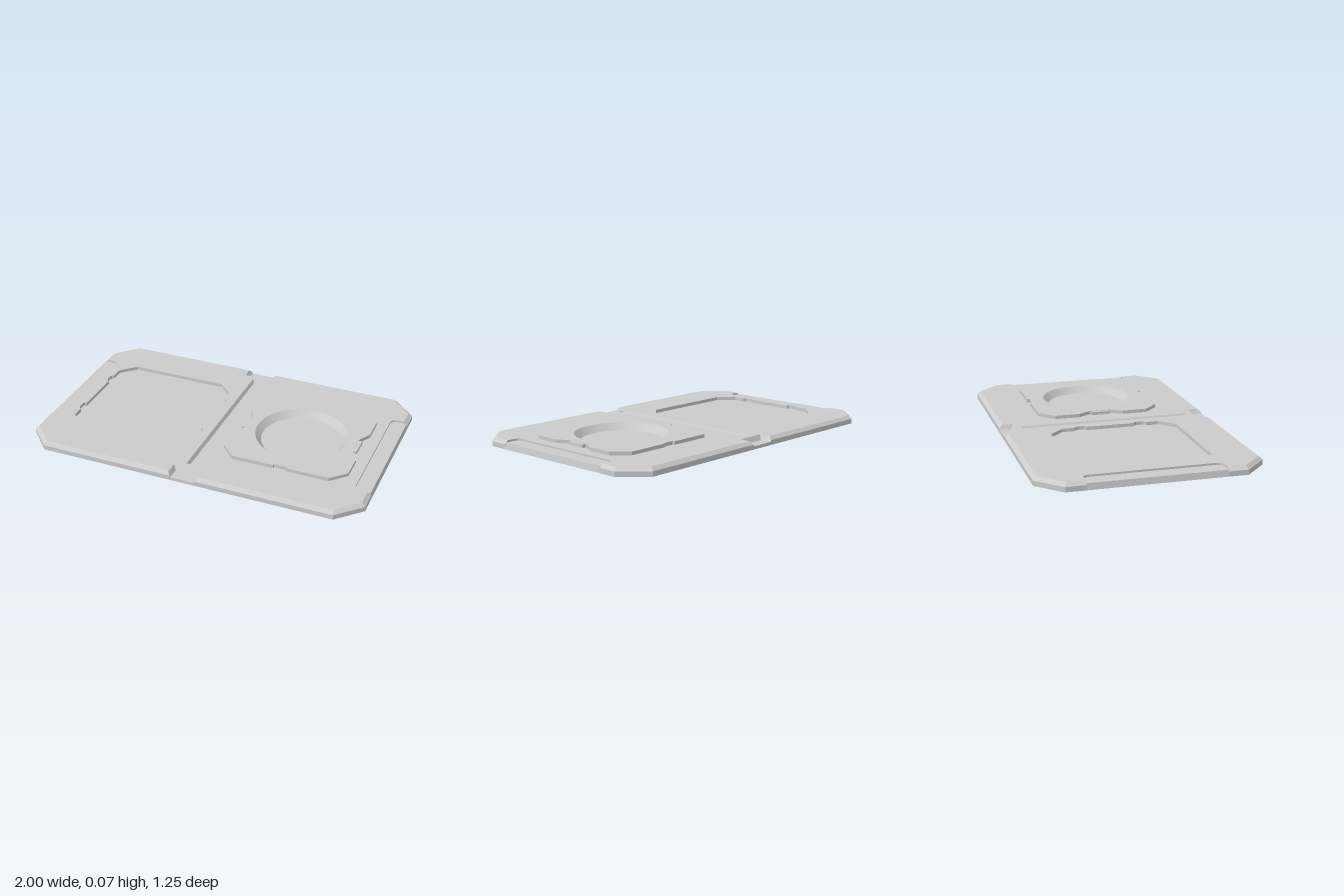
import * as THREE from 'three';

const TOP = 0.047, PLATE = 0.067, FLOOR = 0.027, MID = 0.028, PANEL = 0.036;
const mat = new THREE.MeshStandardMaterial({ color: 0xcccccc, side: THREE.DoubleSide });

function add(parent, name, geometry) {
  const mesh = new THREE.Mesh(geometry, mat);
  mesh.name = name;
  parent.add(mesh);
  return mesh;
}

// Flat faceted skin joining closed loops of [x, y, z] points
function skin(...loops) {
  const out = [];
  for (let k = 0; k + 1 < loops.length; k++) {
    const a = loops[k], b = loops[k + 1], n = a.length;
    for (let i = 0; i < n; i++) {
      const j = (i + 1) % n;
      for (const tri of [[a[i], a[j], b[j]], [a[i], b[j], b[i]]]) {
        const [p, q, r] = tri.map(v => new THREE.Vector3(...v));
        if (q.clone().sub(p).cross(r.clone().sub(p)).length() > 1e-8) out.push(...tri.flat());
      }
    }
  }
  const g = new THREE.BufferGeometry();
  g.setAttribute('position', new THREE.Float32BufferAttribute(out, 3));
  g.computeVertexNormals();
  return g;
}

// Horizontal sheet with holes; outlines are [x, z] points
function sheet(outline, y, holes = []) {
  const pts = l => l.map(([x, z]) => new THREE.Vector2(x, -z));
  const shape = new THREE.Shape(pts(outline));
  for (const h of holes) shape.holes.push(new THREE.Path(pts(h)));
  return new THREE.ShapeGeometry(shape).rotateX(-Math.PI / 2).translate(0, y, 0);
}

const at = (loop, y) => loop.map(([x, z]) => [x, y, z]);
const flat = loop => loop.map(([x, , z]) => [x, z]);

// Repeats a quarter outline (front centre to right centre) about centre cx
function mirrorFour(quarter, cx = 0) {
  const flip = (p, sx, sz) => [cx + p[0] * sx, ...p.slice(1, -1), p[p.length - 1] * sz];
  const back = [...quarter].reverse();
  return [
    ...quarter.map(p => flip(p, 1, 1)), ...back.map(p => flip(p, 1, -1)),
    ...quarter.map(p => flip(p, -1, -1)), ...back.map(p => flip(p, -1, 1)),
  ];
}

// Quarter rim stations: base, shoulder, ledge and top-edge points
function rimStations() {
  const s = [];
  const plain = (x, z, tx, tz) => s.push([[x, 0, z], [x, MID, z], [x, MID, z], [tx, TOP, tz]]);
  // edge cut-out at the fold
  s.push([[0.07, 0, 0.625], [0.07, 0.018, 0.625], [0.07, 0.018, 0.555], [0.085, TOP, 0.54]]);
  plain(0.078, 0.625, 0.09, 0.603);
  // clipped corner
  plain(0.865, 0.625, 0.856, 0.603);
  plain(1, 0.49, 0.978, 0.481);
  plain(1, 0.38, 0.978, 0.38);
  // rounded end ledge
  for (const [x, z] of [[0.978, 0.38], [0.935, 0.38], [0.918, 0.375], [0.908, 0.363], [0.904, 0.345]])
    s.push([[1, 0, z], [0.994, PANEL, z], [x, PANEL, z], [x, TOP, z]]);
  return s;
}

export function createModel() {
  const model = new THREE.Group();
  model.name = 'foldingTray';

  // Rim with bevel, fold cut-outs and end ledges
  const stations = rimStations();
  const rim = [0, 1, 2, 3].map(k => mirrorFour(stations.map(s => s[k])));
  add(model, 'rim', skin(...rim));

  // Shallow tray outline with small finger notches on both sides
  const notch = [[0.377, 0.216], [0.39, 0.21], [0.395, 0.195], [0.395, 0.16], [0.39, 0.147], [0.377, 0.143]];
  const tray = mirrorFour([[0.291, 0.374], [0.377, 0.288], ...notch], -0.473);

  // Raised plate outline with waisted sides and end notches
  const plate = mirrorFour([
    [0.038, 0.354], [0.038, 0.366], [0.282, 0.366], [0.367, 0.28], [0.367, 0.136], [0.325, 0.062],
  ], 0.473);

  // Fold groove between the two halves
  const grooveTop = [[-0.026, 0.505], [0.014, 0.505], [0.014, -0.51], [-0.026, -0.51]];
  const grooveLow = [[-0.014, 0.493], [0.002, 0.493], [0.002, -0.498], [-0.014, -0.498]];

  add(model, 'deck', sheet(flat(rim[3]), TOP, [tray, plate, grooveTop]));
  add(model, 'foldGrooveWalls', skin(at(grooveTop, TOP), at(grooveLow, FLOOR)));
  add(model, 'foldGrooveFloor', sheet(grooveLow, FLOOR));
  add(model, 'trayWalls', skin(at(tray, TOP), at(tray, FLOOR)));
  add(model, 'trayFloor', sheet(tray, FLOOR));

  // Raised plate with a round dish
  const seg = 64, cx = 0.473, rOut = 0.267, rIn = 0.233;
  const ring = Array.from({ length: seg }, (_, i) => {
    const a = i / seg * Math.PI * 2;
    return [cx + Math.sin(a) * rOut, Math.cos(a) * rOut];
  });
  add(model, 'plateWalls', skin(at(plate, TOP), at(plate, PLATE)));
  add(model, 'plateTop', sheet(plate, PLATE, [ring]));
  const dish = [new THREE.Vector2(rIn, FLOOR), new THREE.Vector2(rOut, PLATE)];
  add(model, 'dishWall', new THREE.LatheGeometry(dish, seg)).position.x = cx;
  add(model, 'dishFloor', new THREE.CircleGeometry(rIn, seg).rotateX(-Math.PI / 2)).position.set(cx, FLOOR, 0);

  // Clips in the waist of the plate
  for (const side of [-1, 1]) {
    const clip = add(model, side < 0 ? 'rightClip' : 'leftClip', new THREE.BoxGeometry(0.026, PLATE - TOP - 0.002, 0.112));
    clip.position.set(cx + side * 0.333, (PLATE + TOP) / 2 - 0.001, 0);
  }
  return model;
}
